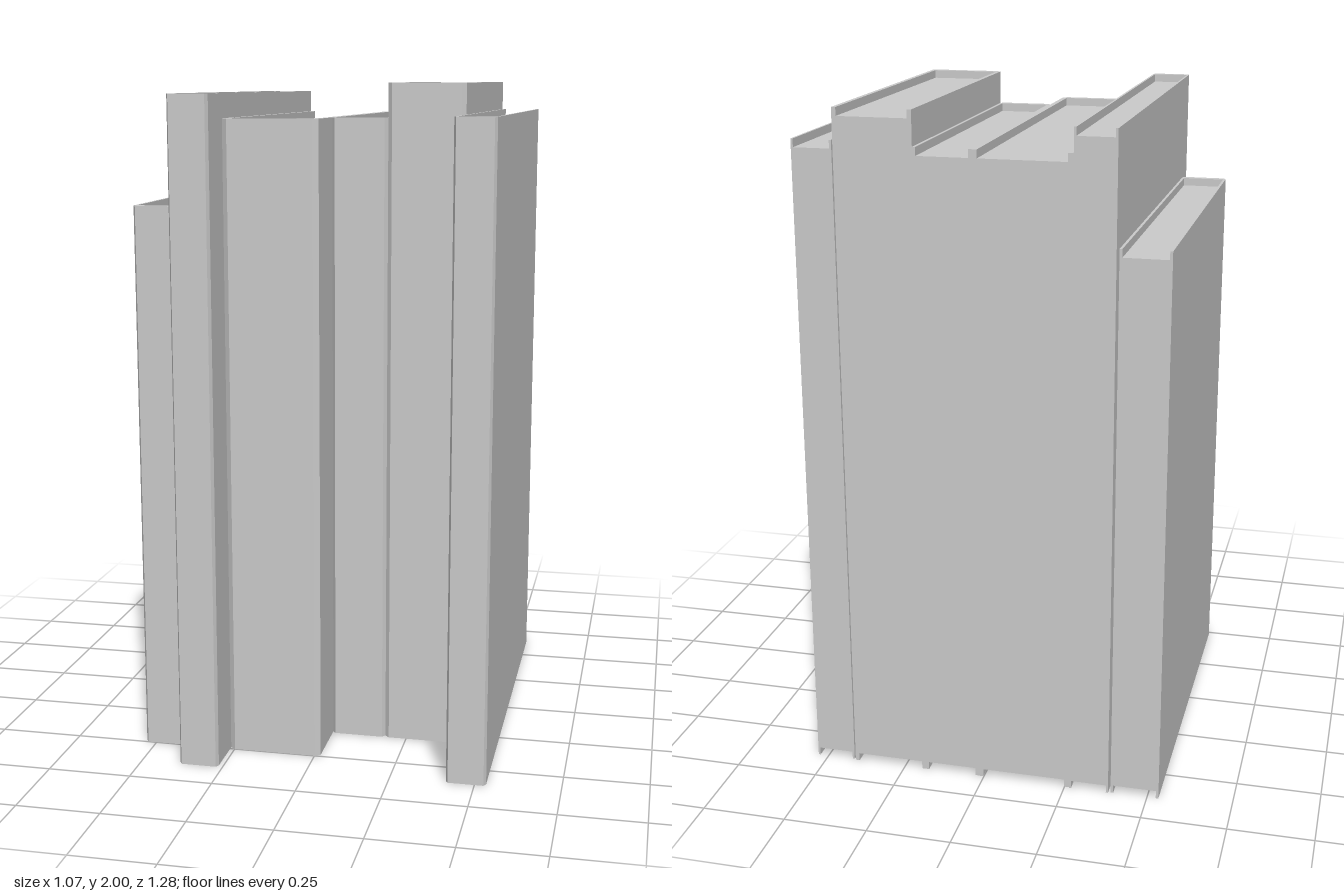
import * as THREE from 'three';

// x left, x right, z back, z spine, height
const BOOKS = [
  [-0.534, -0.390, -0.637, 0.499, 1.65],
  [-0.383, -0.264, -0.641, 0.636, 1.97],
  [-0.264, 0.017, -0.638, 0.500, 1.90],
  [0.017, 0.183, -0.637, 0.317, 1.90],
  [0.183, 0.410, -0.637, 0.317, 2.00],
  [0.415, 0.533, -0.633, 0.606, 1.91],
];
const SPINE = 0.023;   // spine thickness
const CHAMFER = 0.012; // depth of the bevelled spine corners
const INSET = 0.024;   // cover overhang above and below the pages

function createBook([x0, x1, zBack, zSpine, height], material) {
  const book = new THREE.Group();
  const t = (x1 - x0) * 0.055; // board thickness follows the book's width
  const zIn = zSpine - SPINE;

  // Cover: U-shaped section, open at the back, with bevelled spine corners
  const section = [
    [x0, zBack], [x0, zSpine - CHAMFER], [x0 + t, zSpine],
    [x1 - t, zSpine], [x1, zSpine - CHAMFER], [x1, zBack],
    [x1 - t, zBack], [x1 - t, zIn], [x0 + t, zIn], [x0 + t, zBack],
  ];
  const shape = new THREE.Shape(section.map(([x, z]) => new THREE.Vector2(x, -z)));
  const coverGeo = new THREE.ExtrudeGeometry(shape, { depth: height, bevelEnabled: false });
  coverGeo.rotateX(-Math.PI / 2);
  const cover = new THREE.Mesh(coverGeo, material);
  cover.name = 'cover';

  // Page block, flush with the boards at the back
  const pages = new THREE.Mesh(
    new THREE.BoxGeometry(x1 - x0 - 2 * t, height - 2 * INSET, zIn - zBack), material);
  pages.position.set((x0 + x1) / 2, height / 2, (zBack + zIn) / 2);
  pages.name = 'pages';

  book.add(cover, pages);
  return book;
}

export function createModel() {
  const model = new THREE.Group();
  model.name = 'bookRow';
  const material = new THREE.MeshStandardMaterial({ color: 0xcccccc, flatShading: true });
  BOOKS.forEach((spec, i) => {
    const book = createBook(spec, material);
    book.name = `book${i + 1}`;
    model.add(book);
  });
  return model;
}
